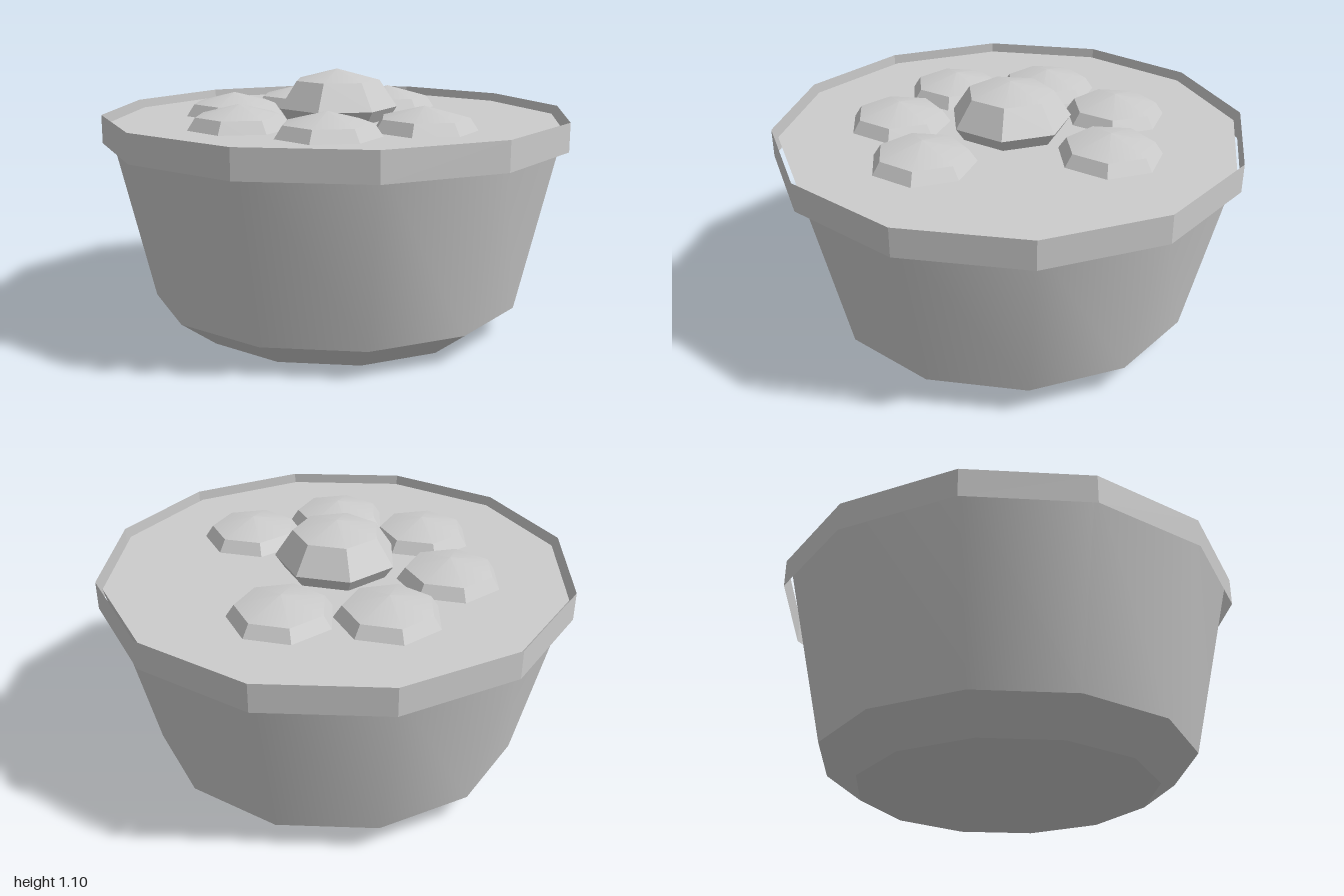
import * as THREE from 'three';
import { toCreasedNormals } from 'three/addons/utils/BufferGeometryUtils.js';

const SIDES = 12;
const CREASE = Math.PI / 6;

export function createModel() {
  const model = new THREE.Group();
  model.name = 'pot';
  const grey = new THREE.MeshStandardMaterial({ color: 0xcccccc });
  const rimGrey = new THREE.MeshStandardMaterial({
    color: 0xcccccc, flatShading: true, side: THREE.DoubleSide,
  });

  const add = (name, geometry, material, x = 0, y = 0, z = 0) => {
    const mesh = new THREE.Mesh(geometry, material);
    mesh.name = name;
    mesh.position.set(x, y, z);
    model.add(mesh);
    return mesh;
  };

  // Tapered bowl with a chamfered foot
  const profile = [[0, 0], [0.64, 0], [0.8, 0.12], [0.975, 0.885]]
    .map(([r, y]) => new THREE.Vector2(r, y));
  add('bowl', toCreasedNormals(new THREE.LatheGeometry(profile, SIDES), CREASE), grey);

  // Flat filling that closes the bowl
  const filling = new THREE.CircleGeometry(0.975, SIDES).rotateX(-Math.PI / 2);
  add('filling', filling, grey, 0, 0.885, 0);

  // Thin open band standing just outside the bowl
  add('rim', new THREE.CylinderGeometry(1, 1, 0.12, SIDES, 1, true), rimGrey, 0, 0.86, 0);

  // Seven-sided flattened lumps: one in the middle, six of seven places around it
  const lump = toCreasedNormals(
    new THREE.SphereGeometry(0.26, 7, 4, -Math.PI / 2).scale(1, 0.62, 1), CREASE);
  add('centreLump', lump, grey, 0, 0.94, 0);
  for (let i = 1; i < 7; i++) {
    const a = (i / 7) * Math.PI * 2;
    add('lump' + i, lump, grey, 0.48 * Math.cos(a), 0.822, 0.48 * Math.sin(a));
  }
  return model;
}
